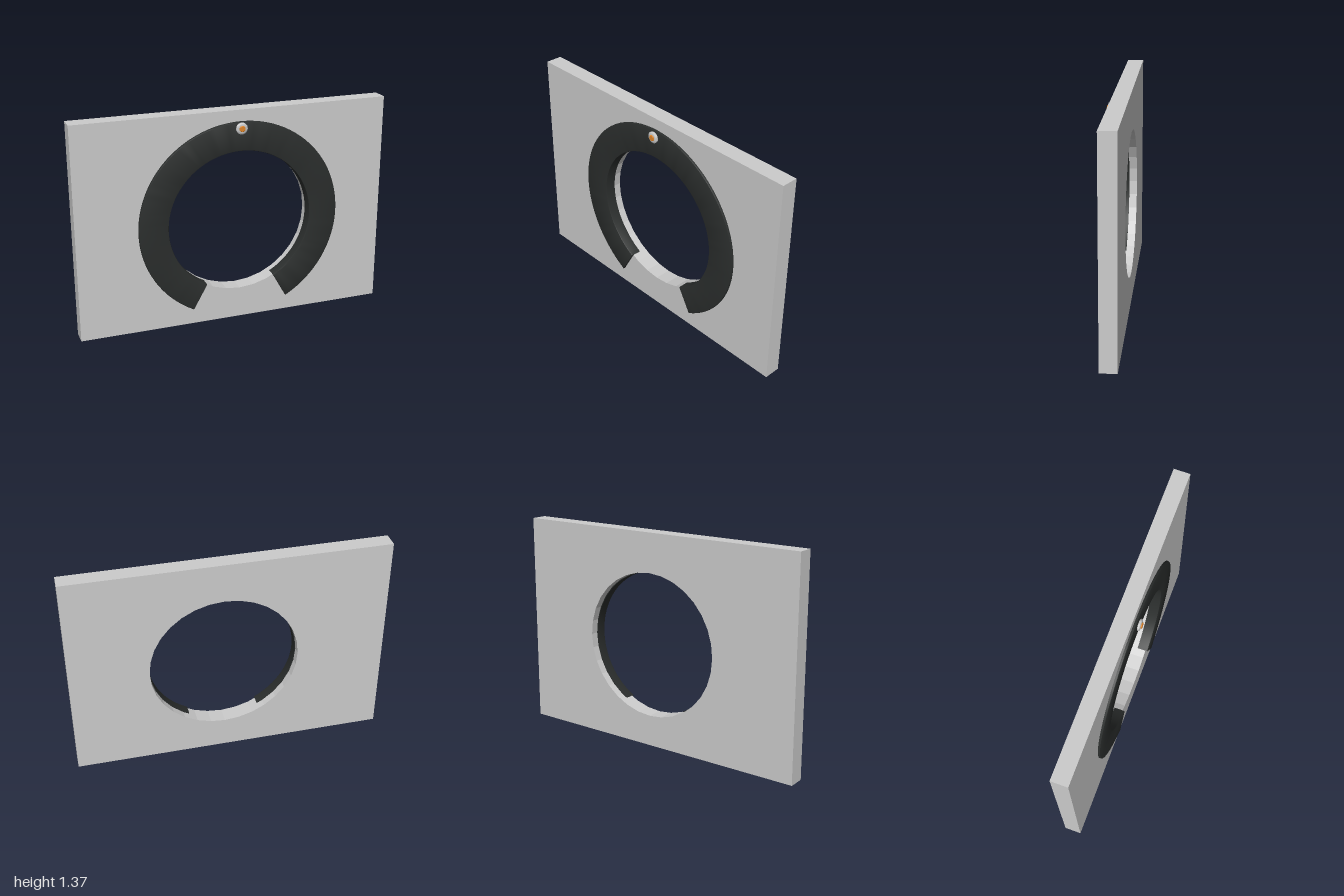
import * as THREE from 'three';
import { toCreasedNormals } from 'three/addons/utils/BufferGeometryUtils.js';

const CX = 0.036, CY = 0.66, SQUASH = 0.98; // opening centre and its slight vertical squash

// Closed or open (radius, z) profile revolved about z, starting from straight down
function revolve(profile, segments, start = 0, sweep = Math.PI * 2) {
  const pts = profile.map(([r, z]) => new THREE.Vector2(r, z));
  const geo = new THREE.LatheGeometry(pts, segments, start, sweep).rotateX(Math.PI / 2);
  return toCreasedNormals(geo, 0.6);
}

function addMesh(parent, name, geometry, material) {
  const mesh = new THREE.Mesh(geometry, material);
  mesh.name = name;
  parent.add(mesh);
  return mesh;
}

export function createModel() {
  const model = new THREE.Group();
  model.name = 'panelWithRing';
  const grey = new THREE.MeshStandardMaterial({ color: 0xcccccc });
  const black = new THREE.MeshStandardMaterial({ color: 0x2b2e2d, side: THREE.DoubleSide });
  const orange = new THREE.MeshStandardMaterial({ color: 0xe0862a });

  // Wall panel with an off-centre round opening
  const outline = new THREE.Shape([[-1, 0], [1, 0], [1, 1.37], [-1, 1.37]]
    .map(([x, y]) => new THREE.Vector2(x, y)));
  const hole = new THREE.Path();
  hole.absellipse(CX, CY, 0.47, 0.47 * SQUASH, 0, Math.PI * 2, true);
  outline.holes.push(hole);
  const panelGeo = new THREE.ExtrudeGeometry(outline, { depth: 0.105, bevelEnabled: false, curveSegments: 16 });
  panelGeo.translate(0, 0, -0.075);
  addMesh(model, 'panel', panelGeo, grey);

  // Trim ring, open at the bottom: thin front flange with a collar reaching into the opening
  const ring = new THREE.Group();
  ring.name = 'trimRing';
  ring.position.set(CX, CY, 0);
  ring.scale.y = SQUASH;
  model.add(ring);
  const section = [[0.464, -0.025], [0.48, -0.025], [0.48, 0.028], [0.652, 0.028], [0.652, 0.038],
    [0.65, 0.043], [0.645, 0.045], [0.472, 0.045], [0.466, 0.043], [0.464, 0.038], [0.464, -0.025]];
  const gap = THREE.MathUtils.degToRad(28.8);
  addMesh(ring, 'ringBody', revolve(section, 80, gap, Math.PI * 2 - 2 * gap), black);

  // Flat faces closing both ends of the ring
  const sectionShape = new THREE.Shape(section.slice(0, -1).map(([r, z]) => new THREE.Vector2(r, z)));
  for (const [name, angle] of [['leftEnd', gap], ['rightEnd', -gap]]) {
    const cap = new THREE.ShapeGeometry(sectionShape);
    cap.rotateY(angle - Math.PI / 2).rotateX(Math.PI / 2);
    addMesh(ring, name, cap, black);
  }

  // Small round button standing just clear of the ring
  const button = new THREE.Group();
  button.name = 'button';
  button.position.set(CX, 1.261, 0);
  model.add(button);
  addMesh(button, 'buttonDisc', revolve([[0, 0.052], [0.033, 0.052], [0.036, 0.055], [0.036, 0.064],
    [0.033, 0.067], [0.024, 0.069], [0, 0.069]], 32), grey);
  addMesh(button, 'buttonCentre', revolve([[0, 0.066], [0.019, 0.066], [0.019, 0.073],
    [0.016, 0.076], [0, 0.076]], 24), orange);

  return model;
}
